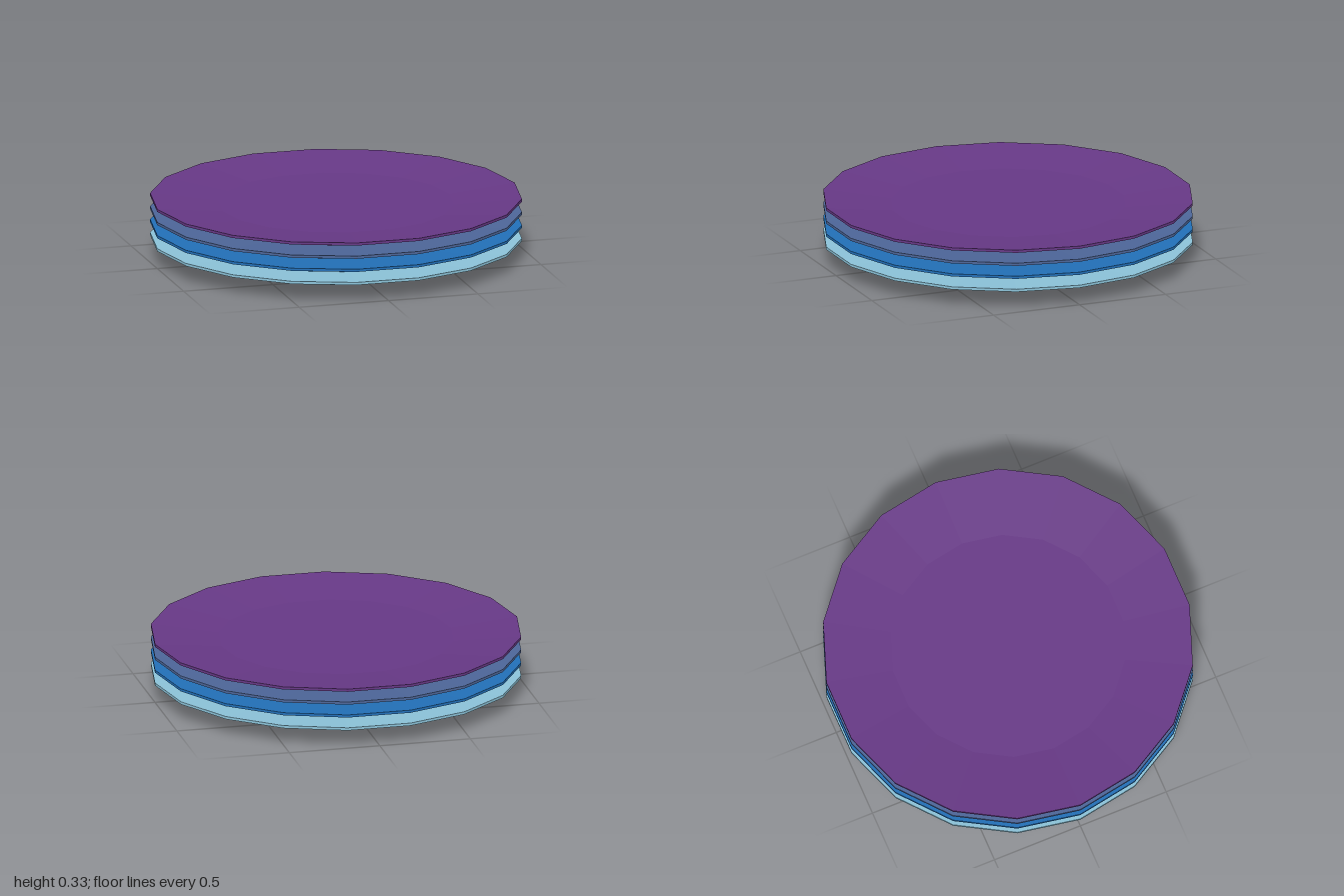
import * as THREE from 'three';

const SIDES = 18;
const SPACING = 0.073; // each foot rests on the well of the plate below

// Half cross-section of one plate, from underside centre round to top centre
const PROFILE = [
  [0, 0.025], [0.54, 0.025], [0.535, 0], // recess inside the foot ring
  [0.635, 0], [0.635, 0.025],            // foot ring
  [1, 0.095], [1, 0.11],                 // sloping underside and rim edge
  [0.635, 0.073], [0, 0.073],            // sloping top and flat well
].map(([r, y]) => new THREE.Vector2(r, y));

function plateGeometry() {
  const geometry = new THREE.LatheGeometry(PROFILE, SIDES, Math.PI / 2).toNonIndexed();
  geometry.computeVertexNormals(); // faceted normals
  return geometry;
}

function paint(name, color) {
  const material = new THREE.MeshStandardMaterial({ color });
  material.name = name;
  return material;
}

export function createModel() {
  const group = new THREE.Group();
  group.name = 'plateStack';
  const geometry = plateGeometry();

  // Bottom to top
  const plates = [
    ['lightBluePlate', paint('light blue', 0x8cc3d9)],
    ['bluePlate', paint('blue', 0x2270b8)],
    ['slateBluePlate', paint('slate blue', 0x4d6699)],
    ['purplePlate', paint('purple', 0x663885)],
  ];
  plates.forEach(([name, material], i) => {
    const plate = new THREE.Mesh(geometry, material);
    plate.name = name;
    plate.position.y = i * SPACING;
    group.add(plate);
  });
  return group;
}
